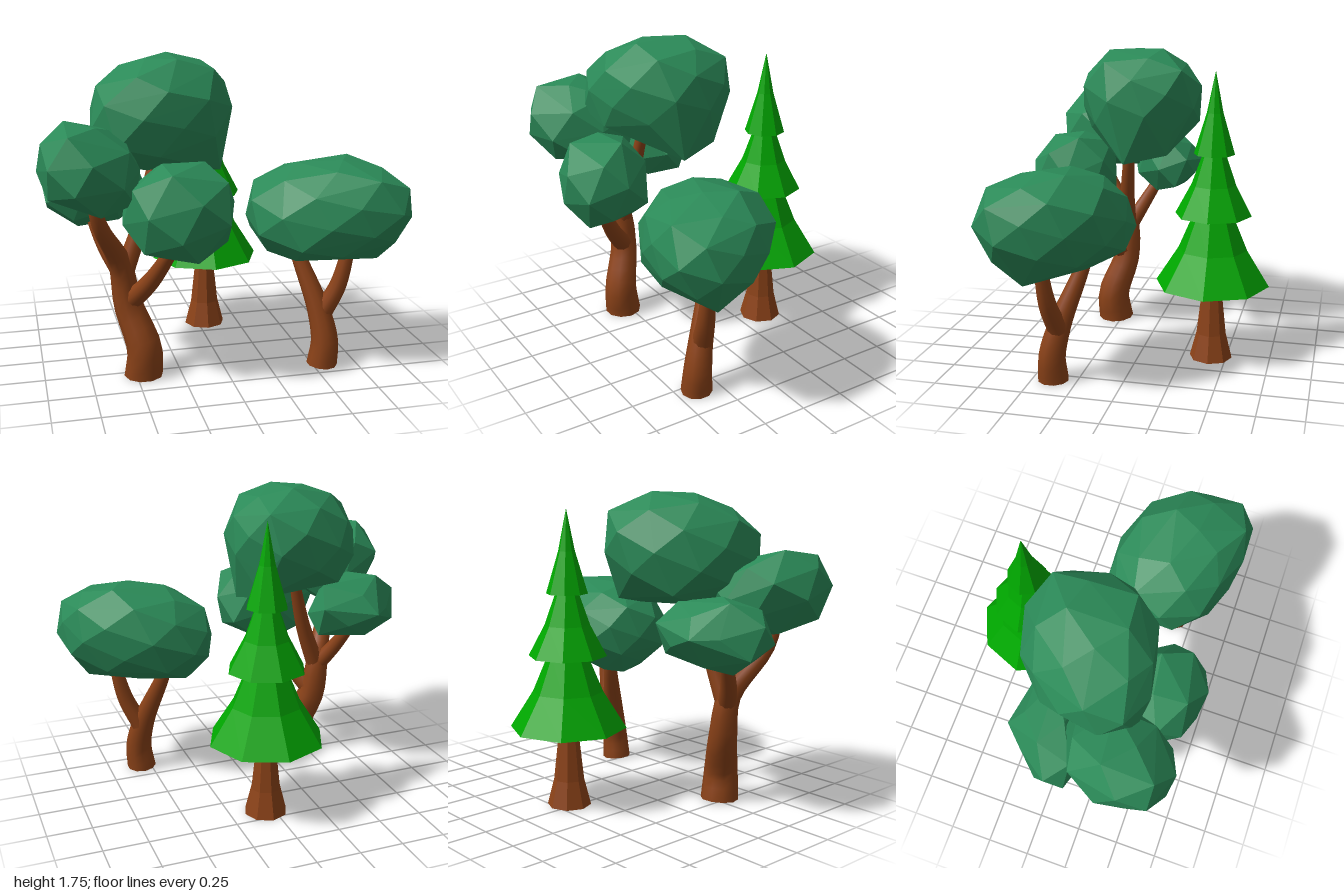
import * as THREE from 'three';
import { ConvexGeometry } from 'three/addons/geometries/ConvexGeometry.js';

const V = (p) => new THREE.Vector3(...p);
const mat = (name, color) => Object.assign(new THREE.MeshStandardMaterial({ color }), { name });

function add(parent, name, geometry, material) {
  const mesh = new THREE.Mesh(geometry, material);
  mesh.name = name;
  parent.add(mesh);
  return mesh;
}

// Faceted eight-sided turned shape, profile runs from bottom to top
function faceted(profile) {
  const pts = profile.map(([r, y]) => new THREE.Vector2(r, y));
  const g = new THREE.LatheGeometry(pts, 8).toNonIndexed();
  g.computeVertexNormals();
  return g;
}

// Faceted leaf mass: hull of points spiralled over a slightly boxy ball,
// roughened, sheared by lean (y per x, z per x) and fitted between min and max
function crownGeometry({ min, max, count, boxy = 2.4, lean, corners = [] }) {
  const pts = [];
  for (let i = 0; i < count; i++) {
    const y = 1 - (2 * i + 1) / count, a = i * 2.4 + min[0] * 5, r = Math.sqrt(1 - y * y);
    const p = V([r * Math.cos(a), y, r * Math.sin(a)]);
    const norm = p.toArray().reduce((sum, c) => sum + Math.abs(c) ** boxy, 0) ** (1 / boxy);
    p.multiplyScalar((0.97 + 0.04 * Math.sin(i * 7.3)) / norm);
    p.y += lean[0] * p.x;
    p.z += lean[1] * p.x;
    pts.push(p);
  }
  const box = new THREE.Box3().setFromPoints(pts);
  const size = V(max).sub(V(min));
  for (const p of pts) box.getParameter(p, p).multiply(size).add(V(min));
  return new ConvexGeometry([...pts, ...corners.map(V)]);
}

// Smooth limb through points, tapering evenly from radius r0 to r1
function limbGeometry(r0, r1, points) {
  const curve = new THREE.CatmullRomCurve3(points.map(V));
  const segs = 18, sides = 10;
  const g = new THREE.TubeGeometry(curve, segs, 1, sides);
  const p = g.attributes.position, v = new THREE.Vector3();
  for (let n = 0; n < p.count; n++) {
    const u = Math.floor(n / (sides + 1)) / segs;
    const centre = curve.getPointAt(u);
    v.fromBufferAttribute(p, n).sub(centre).multiplyScalar(THREE.MathUtils.lerp(r0, r1, u)).add(centre);
    p.setXYZ(n, v.x, Math.max(v.y, 0), v.z);
  }
  return g;
}

// The first limb is the trunk running on into a branch, the rest fork off it
function leafyTree(name, limbs, crowns, bark, leaves) {
  const tree = new THREE.Group();
  tree.name = name;
  limbs.forEach(([r0, r1, ...points], i) => add(tree, i ? 'branch' + i : 'trunk', limbGeometry(r0, r1, points), bark));
  const [r, , [x, , z]] = limbs[0];
  const base = add(tree, 'trunkBase', new THREE.CircleGeometry(r, 10), bark);
  base.rotation.x = Math.PI / 2;
  base.position.set(x, 0.001, z);
  crowns.forEach((c, i) => add(tree, 'crown' + (i + 1), crownGeometry(c), leaves));
  return tree;
}

const bigLimbs = [
  [0.108, 0.028, [-0.46, 0, 0.29], [-0.455, 0.16, 0.305], [-0.53, 0.4, 0.235], [-0.57, 0.64, 0.24], [-0.69, 0.9, 0.4], [-0.74, 1.1, 0.44]],
  [0.055, 0.03, [-0.56, 0.58, 0.23], [-0.64, 0.72, 0.15], [-0.72, 0.93, 0.03]],
  [0.055, 0.03, [-0.55, 0.58, 0.23], [-0.45, 0.85, 0.21], [-0.36, 1.2, 0.17]],
  [0.06, 0.03, [-0.52, 0.42, 0.24], [-0.42, 0.57, 0.36], [-0.29, 0.85, 0.52]],
];

const bigCrowns = [
  // upper mass
  {
    min: [-0.71, 1.13, -0.29], max: [0.075, 1.75, 0.46], count: 40, lean: [0.12, -0.2],
    corners: [[0.02, 1.11, 0.12], [-0.05, 1.16, -0.12]],
  },
  // left mass
  { min: [-1, 0.97, 0.08], max: [-0.47, 1.45, 0.7], count: 24, boxy: 2.6, lean: [-0.2, -0.2] },
  // front mass
  { min: [-0.58, 0.72, 0.25], max: [0.01, 1.23, 0.73], count: 22, boxy: 2.7, lean: [0, 0.1] },
  // back left mass
  {
    min: [-0.965, 0.81, -0.2], max: [-0.38, 1.21, 0.23], count: 20, boxy: 2.1, lean: [0, -0.4],
    corners: [[-0.72, 1.02, -0.24]],
  },
];

const smallLimbs = [
  [0.087, 0.028, [0.555, 0, 0.385], [0.568, 0.14, 0.385], [0.54, 0.32, 0.345], [0.44, 0.64, 0.235], [0.4, 0.8, 0.2]],
  [0.058, 0.03, [0.56, 0.3, 0.35], [0.64, 0.47, 0.38], [0.71, 0.8, 0.4]],
];

const smallCrowns = [{
  min: [0.14, 0.63, -0.035], max: [1, 1.19, 0.69], count: 44, lean: [0.12, 0.25],
  corners: [[0.275, 0.64, 0.2], [0.84, 0.63, 0.44], [0.92, 1.08, 0.38]],
}];

export function createModel() {
  const model = new THREE.Group();
  model.name = 'treeGroup';
  const bark = mat('bark brown', 0x8b4218);
  const leaves = mat('leaf green', 0x2b8a58);
  const needles = mat('needle green', 0x00a600);

  // Conifer: flared trunk and three concave tiers, hollow underneath
  const conifer = new THREE.Group();
  conifer.name = 'conifer';
  conifer.position.set(0.045, 0, -0.41);
  add(conifer, 'coniferTrunk', faceted([[0, 0], [0.123, 0], [0.085, 0.15], [0.052, 0.45], [0.045, 0.7]]), bark);
  const tiers = [[0.45, 0.86, 0.325, 0.11], [0.855, 1.2, 0.217, 0.065], [1.2, 1.66, 0.115, 0]];
  tiers.forEach(([y0, y1, r0, r1], i) => {
    const profile = [[0, y0 + 0.12], [r0, y0], [THREE.MathUtils.lerp(r0, r1, 0.6), (y0 + y1) / 2], [r1, y1]];
    add(conifer, 'needleTier' + (i + 1), faceted(profile), needles);
  });

  model.add(
    conifer,
    leafyTree('largeTree', bigLimbs, bigCrowns, bark, leaves),
    leafyTree('smallTree', smallLimbs, smallCrowns, bark, leaves),
  );
  return model;
}
